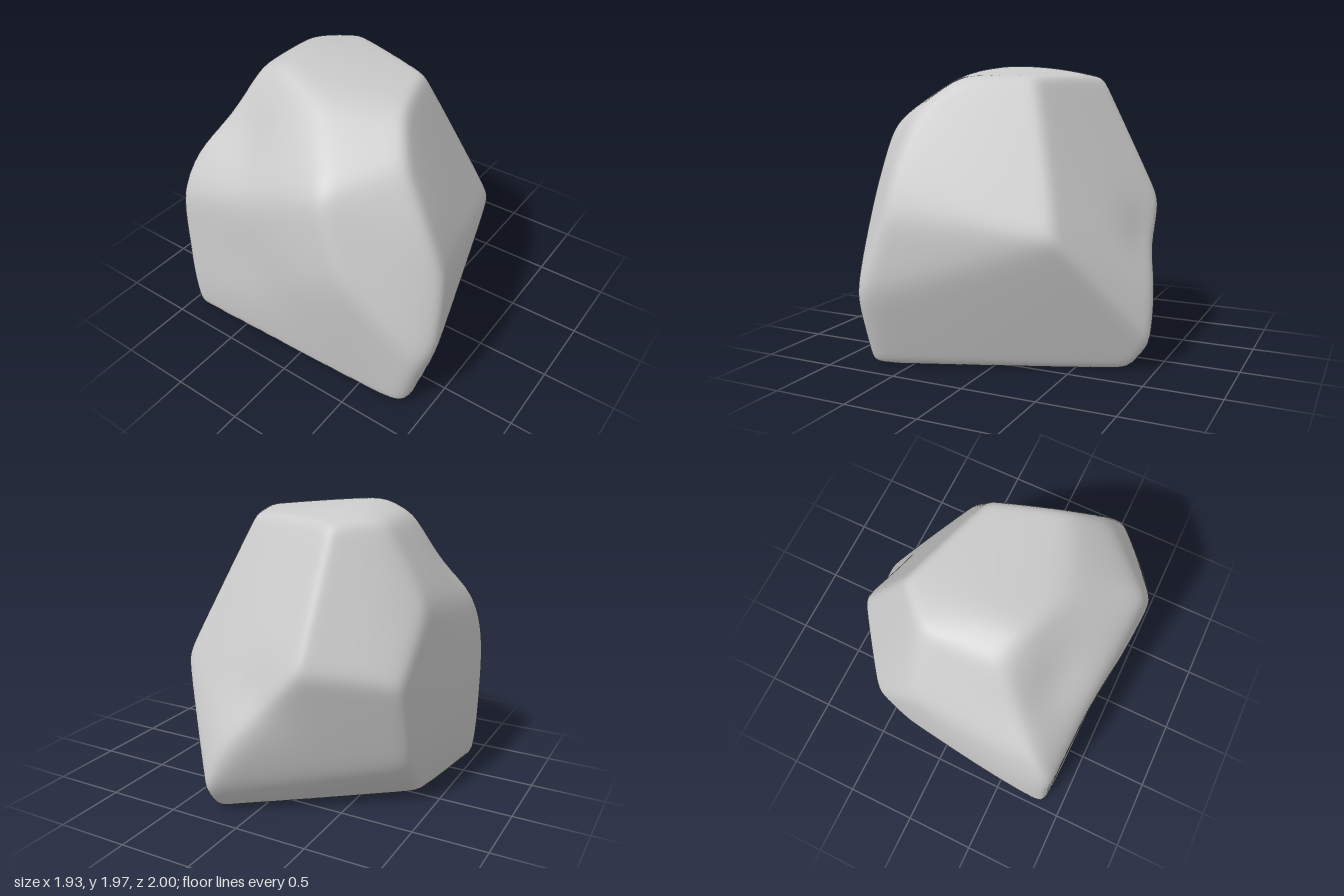
import * as THREE from 'three';
import { mergeVertices } from 'three/addons/utils/BufferGeometryUtils.js';
import { ConvexGeometry } from 'three/addons/geometries/ConvexGeometry.js';

// Corners of the boulder, grouped by height
const corners = [
  // base
  [-0.8, 0.01, 0.82], [-0.72, 0.01, 0.86], [0.84, 0.01, 0.25], [-0.02, 0.01, -0.84], [-0.86, 0.01, -0.97],
  // lower bulge and side spur
  [-0.7, 0.55, 1.02], [-0.79, 0.5, 0.98], [0.98, 0.2, 0.24], [0.95, 0.5, 0.15], [-0.45, 0.5, -1.0],
  [0.25, 0.27, -0.88], [0.37, 0.6, -0.88],
  // waist
  [0.5, 0.89, 0.71], [0.0, 0.98, 0.84], [-0.58, 1.0, 0.97], [-0.98, 1.02, 0.48], [-0.89, 0.75, 0.74],
  [0.84, 1.04, -0.35], [0.48, 0.95, -0.87], [-0.86, 1.0, -0.97], [-0.8, 0.9, -1.01],
  // shoulders
  [-0.57, 1.3, 0.86], [-0.5, 1.7, 0.62], [-0.91, 1.57, 0.3], [-0.8, 1.67, 0.26],
  [-0.74, 1.28, -0.94], [0.15, 1.37, -0.91],
  // crown
  [-0.28, 1.89, 0.47], [0.2, 1.89, 0.3], [0.41, 1.89, -0.37], [0.2, 1.9, -0.61],
  [0.05, 1.965, -0.43], [-0.38, 1.985, -0.4], [-0.33, 1.89, -0.61], [-0.5, 1.93, -0.1],
];

// Shallow hollows: position, radius, depth
const hollows = [
  { at: new THREE.Vector3(-0.74, 1.6, -0.58), radius: 0.34, depth: 0.08 }, // back left shoulder
  { at: new THREE.Vector3(0.89, 0.82, -0.05), radius: 0.24, depth: 0.035 }, // above the spur
  { at: new THREE.Vector3(-0.9, 0.7, -0.4), radius: 0.45, depth: 0.035 }, // left face
];

const CENTRE = new THREE.Vector3(-0.02, 0.9, 0);
const SHARPNESS = 50;
const WEAR = 1.01; // allowance for the rounding of the corners

// Face planes of the faceted body, relative to the centre
function facePlanes() {
  const points = corners.map((c) => new THREE.Vector3(...c).sub(CENTRE).multiplyScalar(WEAR));
  const pos = new ConvexGeometry(points).attributes.position;
  const planes = [];
  for (let i = 0; i < pos.count; i += 3) {
    const [a, b, c] = [0, 1, 2].map((k) => new THREE.Vector3().fromBufferAttribute(pos, i + k));
    const normal = new THREE.Plane().setFromCoplanarPoints(a, b, c).normal;
    const distance = normal.dot(a);
    if (distance > 0.05) planes.push({ normal, slope: normal.clone().divideScalar(distance) });
  }
  // triangles that share a facet share its weight
  for (const p of planes) {
    p.weight = 1 / planes.reduce((s, q) => s + Math.max(0, p.normal.dot(q.normal)) ** 200, 0);
  }
  return planes;
}

// Push a dense sphere out to the planes, blending them so that edges are worn round
function boulderGeometry() {
  const planes = facePlanes();
  let geo = new THREE.IcosahedronGeometry(1, 46);
  geo.deleteAttribute('normal');
  geo.deleteAttribute('uv');
  geo = mergeVertices(geo, 1e-5);
  const pos = geo.attributes.position;
  const dir = new THREE.Vector3(), p = new THREE.Vector3();
  for (let i = 0; i < pos.count; i++) {
    dir.fromBufferAttribute(pos, i).normalize();
    let sum = 0;
    for (const { slope, weight } of planes) sum += weight * Math.max(0, slope.dot(dir)) ** SHARPNESS;
    p.copy(dir).multiplyScalar(sum ** (-1 / SHARPNESS)).add(CENTRE);
    for (const { at, radius, depth } of hollows) {
      p.addScaledVector(dir, -depth * Math.exp(-p.distanceToSquared(at) / radius ** 2));
    }
    pos.setXYZ(i, p.x, Math.max(0, p.y), p.z);
  }
  geo.computeVertexNormals();
  return geo;
}

export function createModel() {
  const group = new THREE.Group();
  group.name = 'rock';
  const boulder = new THREE.Mesh(boulderGeometry(), new THREE.MeshStandardMaterial({ color: 0xcccccc }));
  boulder.name = 'boulder';
  group.add(boulder);
  return group;
}
